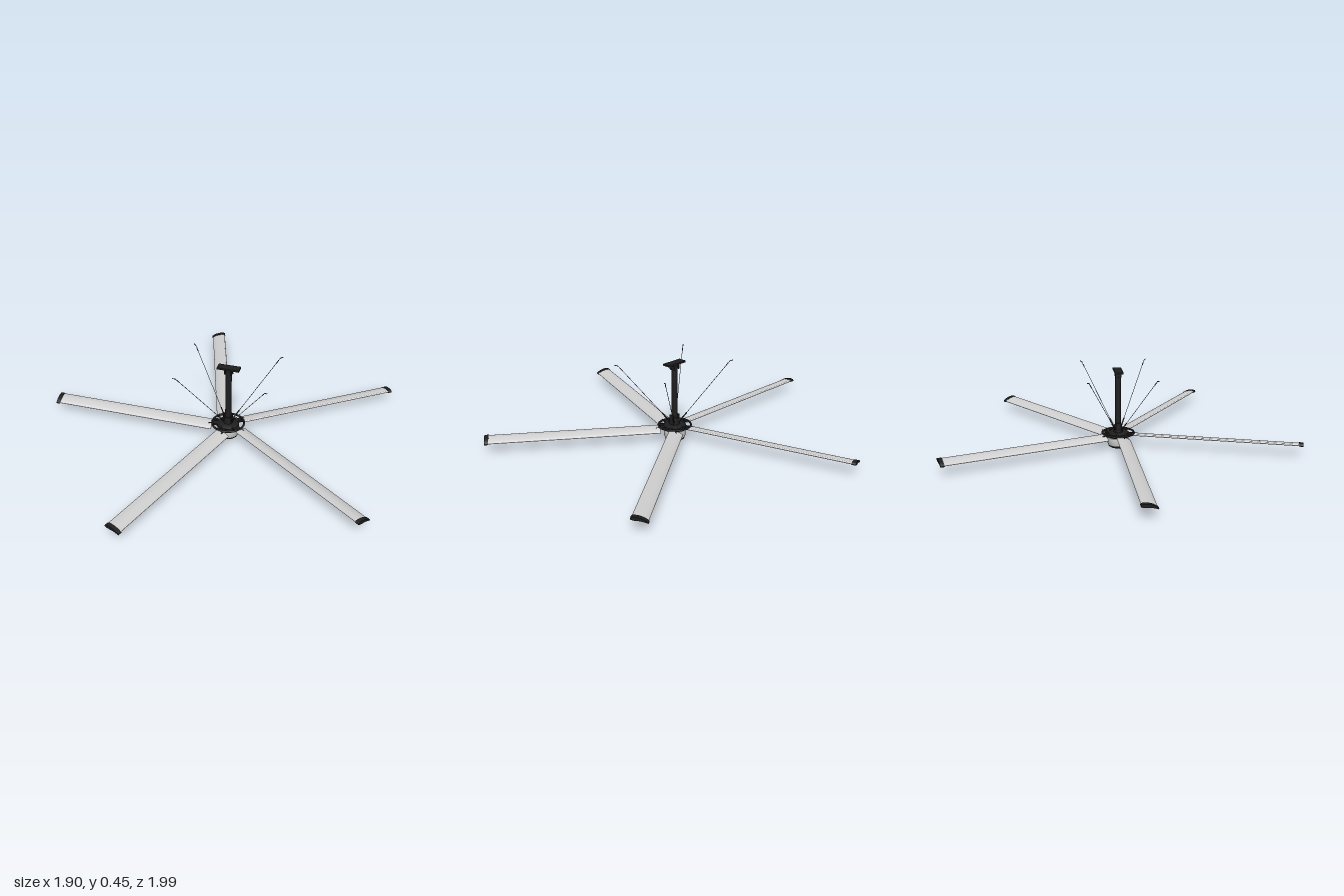
import * as THREE from 'three';
import { toCreasedNormals } from 'three/addons/utils/BufferGeometryUtils.js';

const mat = (name, color) => {
  const m = new THREE.MeshStandardMaterial({ color });
  m.name = name;
  return m;
};

export function createModel() {
  const black = mat('black metal', 0x1e1e1e);
  const silver = mat('silver blade', 0xcfcfcf);
  const white = mat('light housing', 0xd8d8d6);
  const steel = mat('cable steel', 0x4a4a4a);

  const model = new THREE.Group();
  model.name = 'ceilingFan';
  const fan = new THREE.Group();
  fan.name = 'fanAssembly';
  fan.position.set(0.082, 0, -0.004);
  model.add(fan);

  const add = (name, geo, material, x = 0, y = 0, z = 0, parent = fan) => {
    const m = new THREE.Mesh(geo, material);
    m.name = name;
    m.position.set(x, y, z);
    parent.add(m);
    return m;
  };
  const lathe = (pts) => toCreasedNormals(
    new THREE.LatheGeometry(pts.map(([r, y]) => new THREE.Vector2(r, y)), 40), 0.6);
  // straight rod between two points
  const rod = (name, a, b, r, material) => {
    const d = b.clone().sub(a);
    const m = add(name, new THREE.CylinderGeometry(r, r, d.length(), 8), material);
    m.position.copy(a).addScaledVector(d, 0.5);
    m.quaternion.setFromUnitVectors(new THREE.Vector3(0, 1, 0), d.normalize());
  };

  // Motor housing: dark base, light shell, dark hub
  add('motorBase', lathe([[0, 0], [0.048, 0], [0.054, 0.004], [0.056, 0.014], [0, 0.014]]), black);
  add('motorShell', lathe([[0, 0.014], [0.057, 0.014], [0.06, 0.02], [0.06, 0.056], [0.054, 0.062], [0, 0.062]]), white);
  add('hubPlate', lathe([[0, 0.06], [0.062, 0.06], [0.062, 0.08], [0.05, 0.086], [0, 0.086]]), black);

  // Safety ring carried by spokes
  const ring = new THREE.TorusGeometry(0.09, 0.0055, 8, 48);
  ring.rotateX(Math.PI / 2);
  add('safetyRing', ring, black, 0, 0.08, 0);

  // Blade cross-section: thick raised leading edge, thin low trailing edge
  const airfoil = (g) => {
    const s = new THREE.Shape();
    s.moveTo(-0.018 - g, 0.073);
    s.bezierCurveTo(-0.018 - g, 0.083 + g, 0.008, 0.08 + g, 0.02, 0.077 + g);
    s.quadraticCurveTo(0.045, 0.072 + g, 0.06 + g, 0.059);
    s.lineTo(0.06 + g, 0.057 - g);
    s.quadraticCurveTo(0.04, 0.066 - g, 0.02, 0.067 - g);
    s.quadraticCurveTo(-0.018 - g, 0.066 - g, -0.018 - g, 0.073);
    return s;
  };
  const span = (g, from, to) => {
    const geo = new THREE.ExtrudeGeometry(airfoil(g), { depth: to - from, bevelEnabled: false, curveSegments: 8 });
    geo.translate(0, 0, from);
    geo.rotateY(Math.PI / 2);
    return toCreasedNormals(geo, 0.7);
  };
  const bladeGeo = span(0, 0.085, 1.012);
  const capGeo = span(0.003, 1.01, 1.032);
  const holderGeo = new THREE.BoxGeometry(0.07, 0.01, 0.03);
  const spokeGeo = new THREE.BoxGeometry(0.045, 0.008, 0.014);

  for (let i = 0; i < 5; i++) {
    const arm = new THREE.Group();
    arm.name = 'bladeArm' + (i + 1);
    arm.rotation.y = Math.PI + (i * Math.PI * 2) / 5;
    fan.add(arm);
    add('blade', bladeGeo, silver, 0, 0, 0, arm);
    add('tipCap', capGeo, black, 0, 0, 0, arm);
    add('bladeHolder', holderGeo, black, 0.072, 0.072, -0.012, arm);
    add('ringSpoke', spokeGeo, black, 0.07, 0.081, 0.01, arm);
  }

  // Down rod with lower bracket and ceiling plate
  add('downRod', new THREE.CylinderGeometry(0.017, 0.017, 0.36, 24), black, 0, 0.26, 0);
  add('lowerCollar', new THREE.CylinderGeometry(0.022, 0.026, 0.045, 24), black, 0, 0.105, 0);
  add('ceilingPlate', new THREE.BoxGeometry(0.124, 0.01, 0.046), black, 0, 0.44, 0);
  for (const s of [-1, 1]) {
    add('lowerBracket', new THREE.BoxGeometry(0.006, 0.055, 0.03), black, s * 0.021, 0.113, 0);
    add('upperBracket', new THREE.BoxGeometry(0.006, 0.03, 0.034), black, s * 0.018, 0.422, 0);
  }
  for (const y of [0.1, 0.13, 0.41]) {
    const bolt = new THREE.CylinderGeometry(0.004, 0.004, 0.05, 8);
    bolt.rotateZ(Math.PI / 2);
    add('bracketBolt', bolt, black, 0, y, 0);
  }

  // Four guy cables with turnbuckles and ceiling hooks
  for (const sx of [-1, 1]) {
    for (const sz of [-1, 1]) {
      const low = new THREE.Vector3(sx * 0.015, 0.09, sz * 0.012);
      const high = new THREE.Vector3(sx * 0.243, 0.438, sz * 0.182);
      const at = (t) => low.clone().lerp(high, t);
      rod('guyCable', low, high, 0.0014, steel);
      rod('turnbuckle', at(0.04), at(0.17), 0.0035, black);
      rod('cableClamp', at(0.93), at(0.97), 0.0025, black);
      rod('ceilingHook', high, new THREE.Vector3(sx * 0.257, 0.443, sz * 0.192), 0.0025, steel);
    }
  }
  return model;
}
